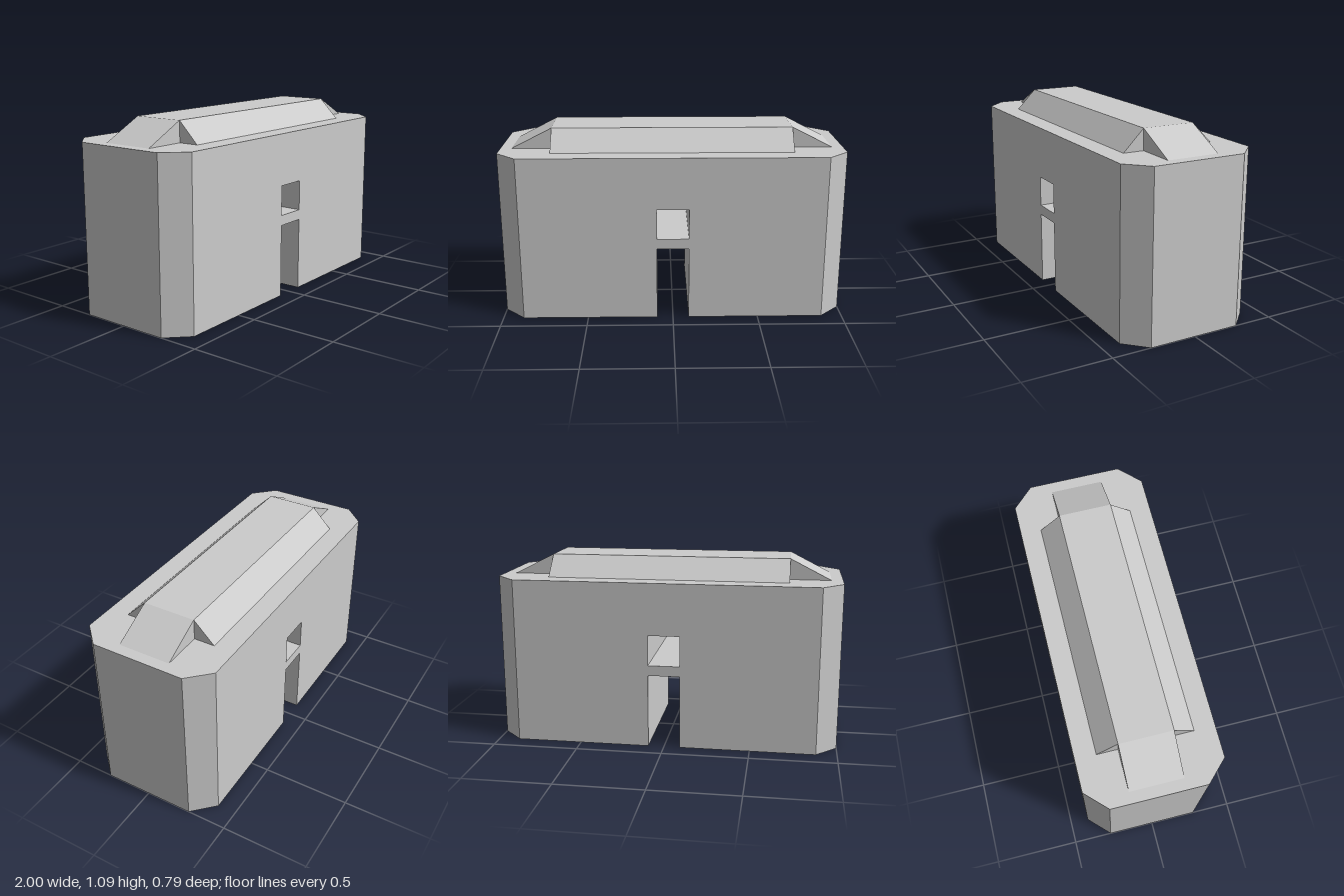
import * as THREE from 'three';

const WALL_TOP = 0.97, ROOF_TOP = 1.09;
const HX = 1, HZ = 0.393, CX = 0.88, CZ = 0.272; // half sizes and corner cuts
const GAP = 0.0925;                              // half width of the passage

const material = new THREE.MeshStandardMaterial({
  color: 0xcccccc, flatShading: true, side: THREE.DoubleSide,
});

function add(group, name, geometry) {
  const mesh = new THREE.Mesh(geometry, material);
  mesh.name = name;
  group.add(mesh);
  return mesh;
}

// Closed ring of upright walls around a plan outline of [x, z] points
function wallRing(plan, y0, y1) {
  const pos = [];
  plan.forEach(([ax, az], i) => {
    const [bx, bz] = plan[(i + 1) % plan.length];
    pos.push(ax, y0, az, bx, y0, bz, bx, y1, bz);
    pos.push(ax, y0, az, bx, y1, bz, ax, y1, az);
  });
  const geo = new THREE.BufferGeometry();
  geo.setAttribute('position', new THREE.Float32BufferAttribute(pos, 3));
  geo.computeVertexNormals();
  return geo;
}

// Trapezoid profile extruded to a centred ridge
function ridge(bottom, top, length) {
  const shape = new THREE.Shape([
    new THREE.Vector2(-bottom, WALL_TOP), new THREE.Vector2(bottom, WALL_TOP),
    new THREE.Vector2(top, ROOF_TOP), new THREE.Vector2(-top, ROOF_TOP),
  ]);
  return new THREE.ExtrudeGeometry(shape, { depth: length, bevelEnabled: false })
    .translate(0, 0, -length / 2);
}

export function createModel() {
  const model = new THREE.Group();
  model.name = 'building';

  // Two wings, open underneath, one either side of the passage
  for (const s of [1, -1]) {
    const plan = [
      [GAP, HZ], [CX, HZ], [HX, CZ], [HX, -CZ], [CX, -HZ], [GAP, -HZ],
    ].map(([x, z]) => [s * x, z]);
    if (s < 0) plan.reverse();
    add(model, s > 0 ? 'leftWingWalls' : 'rightWingWalls', wallRing(plan, 0, WALL_TOP));
  }

  // Bridge floor and the storeys above the opening
  for (const [name, y0, y1] of [['bridge', 0.43, 0.49], ['upperStoreys', 0.667, WALL_TOP]]) {
    add(model, name, new THREE.BoxGeometry(2 * GAP, y1 - y0, 2 * HZ))
      .position.y = (y0 + y1) / 2;
  }

  // Flat roof with cut corners
  const outline = new THREE.Shape([
    [CX, -HZ], [HX, -CZ], [HX, CZ], [CX, HZ], [-CX, HZ], [-HX, CZ], [-HX, -CZ], [-CX, -HZ],
  ].map(([x, y]) => new THREE.Vector2(x, y)));
  add(model, 'flatRoof', new THREE.ShapeGeometry(outline).rotateX(-Math.PI / 2))
    .position.y = WALL_TOP;

  // Raised roof: a long ridge crossed by one with sloping ends
  add(model, 'roofLongSlopes', ridge(0.273, 0.153, 1.398).rotateY(Math.PI / 2));
  add(model, 'roofEndSlopes', ridge(0.935, 0.699, 0.306));

  return model;
}
